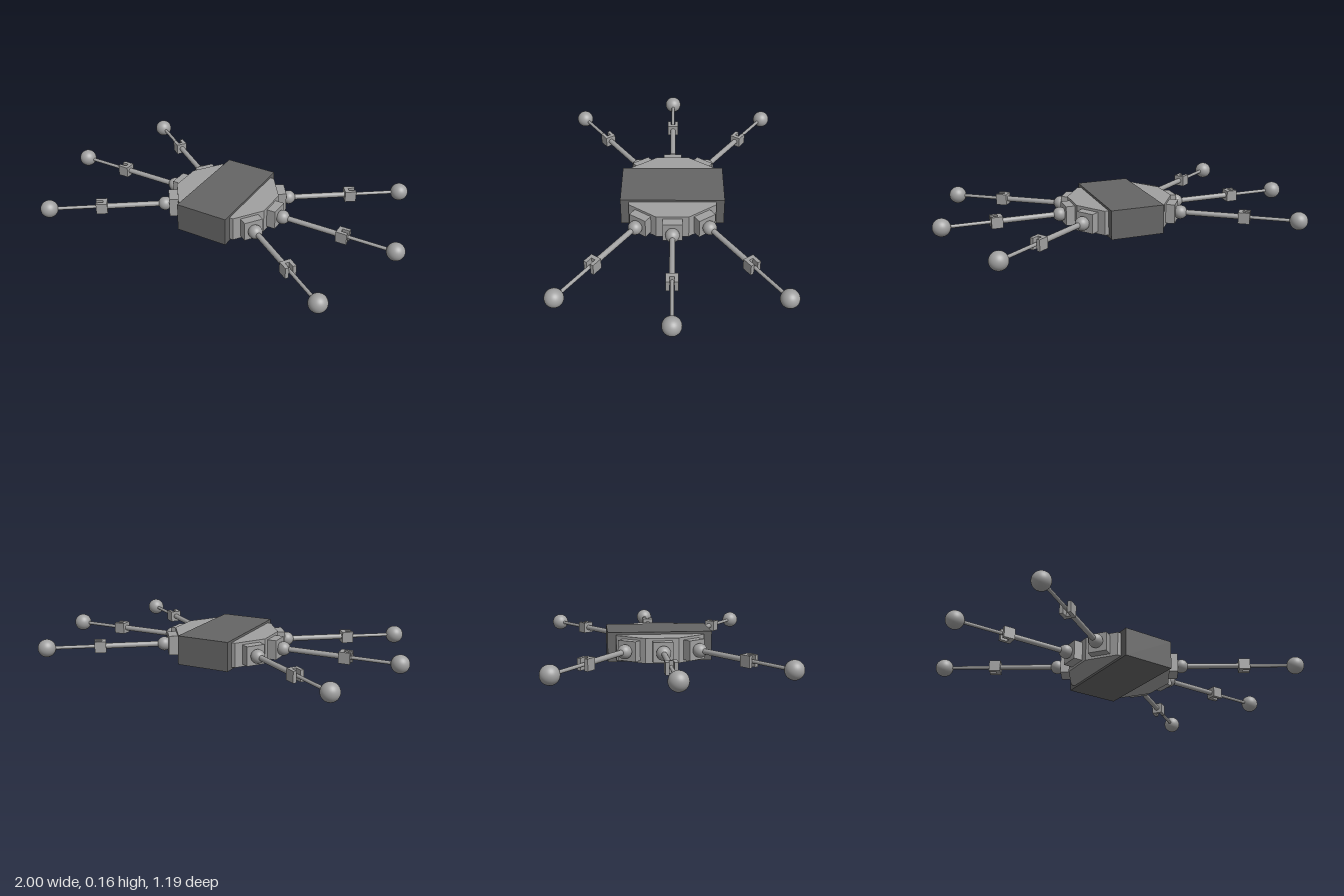
import * as THREE from 'three';

const grey = new THREE.MeshStandardMaterial({ color: 0xa0a0a0 });
const darkGrey = new THREE.MeshStandardMaterial({ color: 0x656565 });

const MID_Y = 0.0775;
const LEG_ANGLE = THREE.MathUtils.degToRad(35);

function part(name, geometry, material = grey) {
  const mesh = new THREE.Mesh(geometry, material);
  mesh.name = name;
  return mesh;
}

const box = (w, h, d, x = 0) => new THREE.BoxGeometry(w, h, d).translate(x, 0, 0);
const ball = (r, x) => new THREE.SphereGeometry(r, 32, 20).translate(x, 0, 0);

// Round bar lying along x between two distances
function rod(r, from, to) {
  return new THREE.CylinderGeometry(r, r, to - from, 20)
    .rotateZ(Math.PI / 2)
    .translate((from + to) / 2, 0, 0);
}

// Outline in plan, extruded upward and centred on y = 0
function slab(points, height) {
  const outline = new THREE.Shape(points.map(([x, z]) => new THREE.Vector2(x, z)));
  return new THREE.ExtrudeGeometry(outline, { depth: height, bevelEnabled: false })
    .rotateX(-Math.PI / 2)
    .translate(0, -height / 2, 0);
}

// Eight-sided body with a flat face for each leg
function sideBody() {
  const quarter = [[0.267, 0.085], [0.165, 0.23]];
  return slab([
    ...quarter,
    ...quarter.map(([x, z]) => [-x, z]).reverse(),
    ...quarter.map(([x, z]) => [-x, -z]),
    ...quarter.map(([x, z]) => [x, -z]).reverse(),
  ], 0.13);
}

// Forked knee block, its slot open toward the foot
function kneeFork() {
  const s = 0.03;
  const slot = 0.011;
  return slab([
    [-s, -s], [s, -s], [s, -slot], [-0.008, -slot],
    [-0.008, slot], [s, slot], [s, s], [-s, s],
  ], 2 * s).translate(0.675, 0, 0);
}

// One leg built outward along +x, then turned to its heading
function leg(name, angle) {
  const group = new THREE.Group();
  group.name = name;
  group.add(
    part('hipMount', box(0.065, 0.104, 0.102, 0.2825)),
    part('hipBall', ball(0.037, 0.336)),
    part('upperLeg', rod(0.0145, 0.34, 0.65)),
    part('kneeFork', kneeFork()),
    part('lowerLeg', rod(0.009, 0.667, 0.94)),
    part('footBall', ball(0.047, 0.953)),
  );
  group.position.y = MID_Y;
  group.rotation.y = angle;
  return group;
}

export function createModel() {
  const model = new THREE.Group();
  model.name = 'sixLeggedRobot';

  // Central block with the faceted body showing on both sides
  const core = part('coreBlock', box(0.288, 0.155, 0.548), darkGrey);
  const body = part('sideBody', sideBody());
  core.position.y = body.position.y = MID_Y;
  model.add(core, body);

  // Three legs on each side
  [['front', -1], ['middle', 0], ['back', 1]].forEach(([place, k]) => {
    model.add(
      leg(place + 'LeftLeg', k * LEG_ANGLE),
      leg(place + 'RightLeg', Math.PI - k * LEG_ANGLE),
    );
  });
  return model;
}
